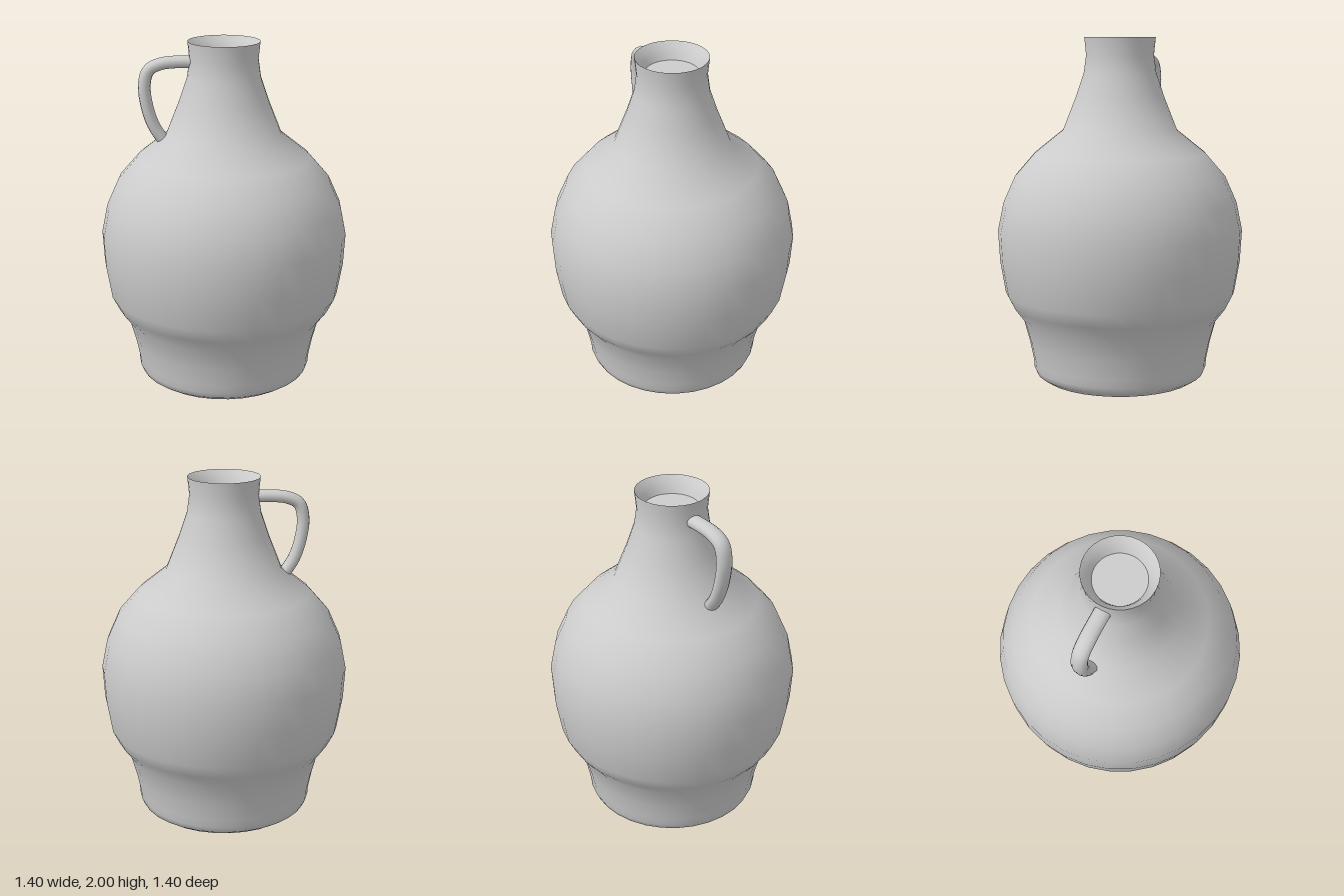
import * as THREE from 'three';

const SIDES = 32;

export function createModel() {
  const jug = new THREE.Group();
  jug.name = 'jug';
  const material = new THREE.MeshStandardMaterial({ color: 0xcccccc, side: THREE.DoubleSide });

  const add = (name, geometry) => {
    const mesh = new THREE.Mesh(geometry, material);
    mesh.name = name;
    jug.add(mesh);
    return mesh;
  };
  const turned = (profile) =>
    new THREE.LatheGeometry(profile.map(([r, y]) => new THREE.Vector2(r, y)), SIDES);

  // Outer wall: rounded foot, waist, belly, shoulder and neck
  add('body', turned([
    [0, 0], [0.33, 0.015], [0.44, 0.04], [0.485, 0.07], [0.5, 0.105], [0.503, 0.15],
    [0.525, 0.26], [0.56, 0.39], [0.62, 0.47], [0.66, 0.55], [0.69, 0.73], [0.7, 0.91],
    [0.667, 1.07], [0.6, 1.22], [0.487, 1.35], [0.325, 1.48], [0.25, 1.67],
    [0.206, 1.8], [0.192, 1.9], [0.202, 2],
  ]));

  // Flared inside of the mouth
  add('mouth', turned([[0.202, 2], [0.18, 1.975], [0.16, 1.945], [0.145, 1.91]]));

  // Flat floor closing the neck
  const floor = add('neckFloor', new THREE.CircleGeometry(0.145, SIDES));
  floor.rotation.x = -Math.PI / 2;
  floor.position.y = 1.91;

  // Handle: a bent tube, a little wider than it is thick
  const path = new THREE.CatmullRomCurve3([
    [-0.17, 1.886], [-0.26, 1.886], [-0.35, 1.876], [-0.417, 1.842], [-0.442, 1.76],
    [-0.43, 1.64], [-0.395, 1.53], [-0.345, 1.45], [-0.32, 1.42],
  ].map(([x, y]) => new THREE.Vector3(x, y, 0)));
  add('handle', new THREE.TubeGeometry(path, 32, 0.035, 12)).scale.z = 1.32;

  return jug;
}
